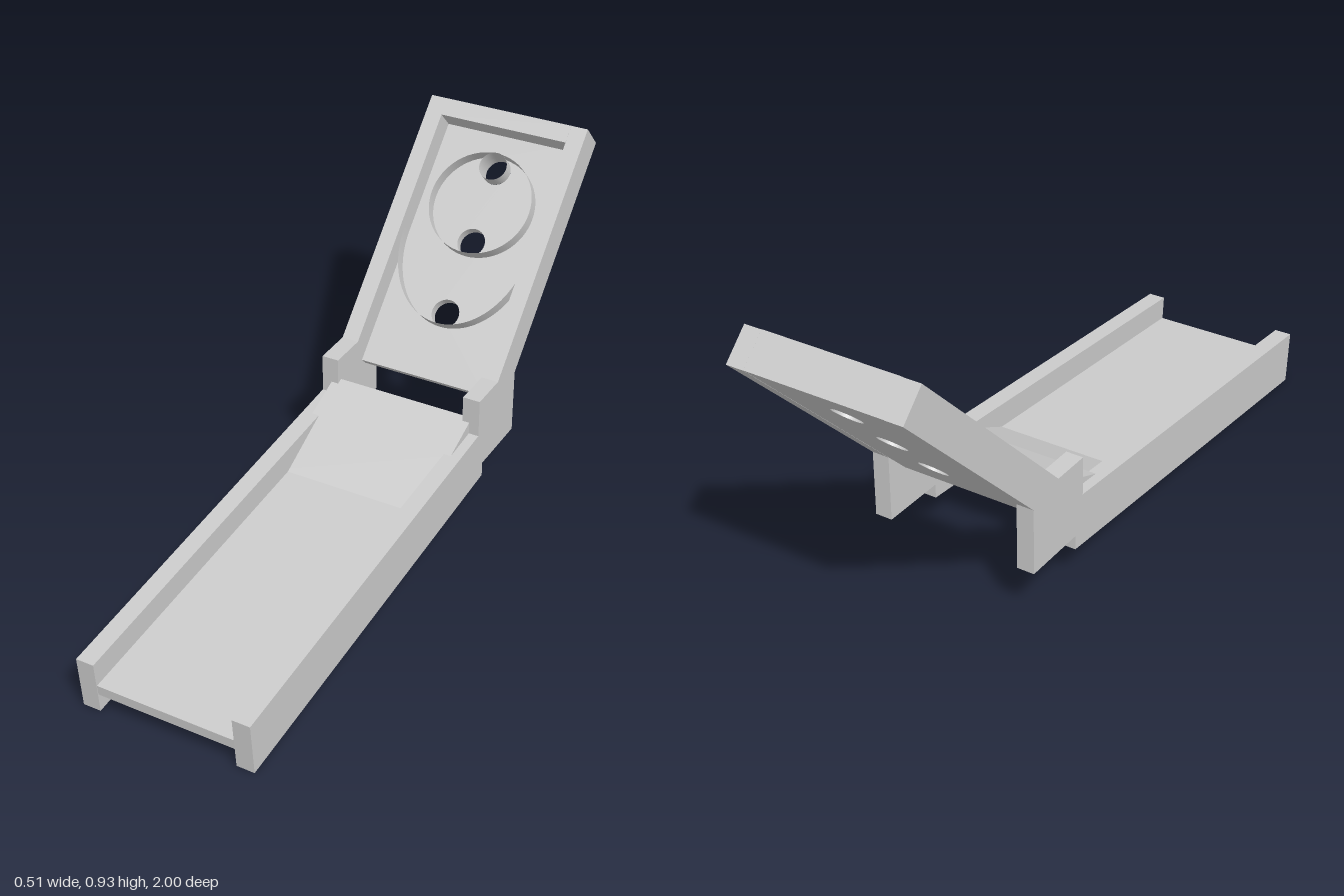
import * as THREE from 'three';

const material = new THREE.MeshStandardMaterial({ color: 0xcccccc, side: THREE.DoubleSide });

function addMesh(parent, name, geometry) {
  const mesh = new THREE.Mesh(geometry, material);
  mesh.name = name;
  parent.add(mesh);
  return mesh;
}

// Side outline given as [z, y] points, extruded across x between x0 and x1
function sideExtrude(points, x0, x1) {
  const shape = new THREE.Shape(points.map(([z, y]) => new THREE.Vector2(-z, y)));
  const geometry = new THREE.ExtrudeGeometry(shape, { depth: x1 - x0, bevelEnabled: false });
  return geometry.translate(0, 0, x0).rotateY(Math.PI / 2);
}

// Thin wall standing on the board, following a curve in the board plane
function wall(curve, height, segments) {
  const positions = [], index = [];
  curve.getPoints(segments).forEach((p, i) => {
    positions.push(p.x, p.y, 0, p.x, p.y, height);
    if (i < segments) {
      const a = i * 2;
      index.push(a, a + 2, a + 1, a + 1, a + 2, a + 3);
    }
  });
  const geometry = new THREE.BufferGeometry();
  geometry.setAttribute('position', new THREE.Float32BufferAttribute(positions, 3));
  geometry.setIndex(index);
  geometry.computeVertexNormals();
  return geometry;
}

export function createModel() {
  const model = new THREE.Group();
  model.name = 'ballRampGame';
  const inner = 0.203, outer = 0.255;

  // Side rails: sloping lane, upright block and tilted board edge in one outline
  const rail = [
    [0.988, 0], [1, 0.16], [-0.245, 0.257], [-0.245, 0.373], [-0.365, 0.373],
    [-0.926, 0.934], [-1, 0.86], [-0.482, 0.342], [-0.482, 0.143], [-0.28, 0.143], [-0.28, 0.1],
  ];
  addMesh(model, 'leftRail', sideExtrude(rail, inner, outer));
  addMesh(model, 'rightRail', sideExtrude(rail, -outer, -inner));

  // Lane floor between the rails
  addMesh(model, 'laneFloor', sideExtrude(
    [[0.99, 0.057], [0.993, 0.088], [0.05, 0.16], [0.05, 0.129]], -inner, inner));

  // Launch lip with a curved underside, slightly let into the rails
  const underside = new THREE.CatmullRomCurve3([
    [0.05, 0.129], [-0.05, 0.15], [-0.14, 0.195], [-0.22, 0.25], [-0.283, 0.272],
  ].map(([z, y]) => new THREE.Vector3(0, y, z))).getPoints(16).map((p) => [p.z, p.y]);
  const lip = [...underside, [-0.262, 0.3], [-0.13, 0.248], [0.05, 0.16]];
  addMesh(model, 'launchLip', sideExtrude(lip, -0.225, 0.225));

  // Tilted target board: local y runs up the board, local z is its normal
  const board = new THREE.Group();
  board.name = 'targetBoard';
  board.position.set(0, 0.296, -0.39);
  board.rotation.x = -Math.PI / 4;
  model.add(board);

  const holes = [0.204, 0.433, 0.665], holeRadius = 0.043, wallHeight = 0.043;
  const panel = new THREE.Shape([
    [-inner, 0], [inner, 0], [inner, 0.8], [-inner, 0.8],
  ].map(([x, y]) => new THREE.Vector2(x, y)));
  for (const y of holes) {
    panel.holes.push(new THREE.Path().absarc(0, y, holeRadius, 0, Math.PI * 2, true));
  }
  addMesh(board, 'boardPanel', new THREE.ExtrudeGeometry(panel, {
    depth: 0.032, bevelEnabled: false, curveSegments: 32,
  }).translate(0, 0, -0.032));

  // Top bar closing the frame
  addMesh(board, 'topBar', new THREE.BoxGeometry(inner * 2, 0.054, 0.105)
    .translate(0, 0.803, 0.0205));

  // Score walls: ring around the top hole, middle ring, and wide lower arc
  const ellipse = (y, rx, ry, start, end) => new THREE.EllipseCurve(0, y, rx, ry, start, end);
  addMesh(board, 'topHoleRing',
    wall(ellipse(holes[2], holeRadius, holeRadius, 0, Math.PI * 2), wallHeight, 32));
  addMesh(board, 'middleRing',
    wall(ellipse(0.547, 0.159, 0.159, 0, Math.PI * 2), wallHeight, 64));
  addMesh(board, 'lowerArc',
    wall(ellipse(0.421, inner, 0.26, Math.PI, Math.PI * 2), wallHeight, 48));

  return model;
}
